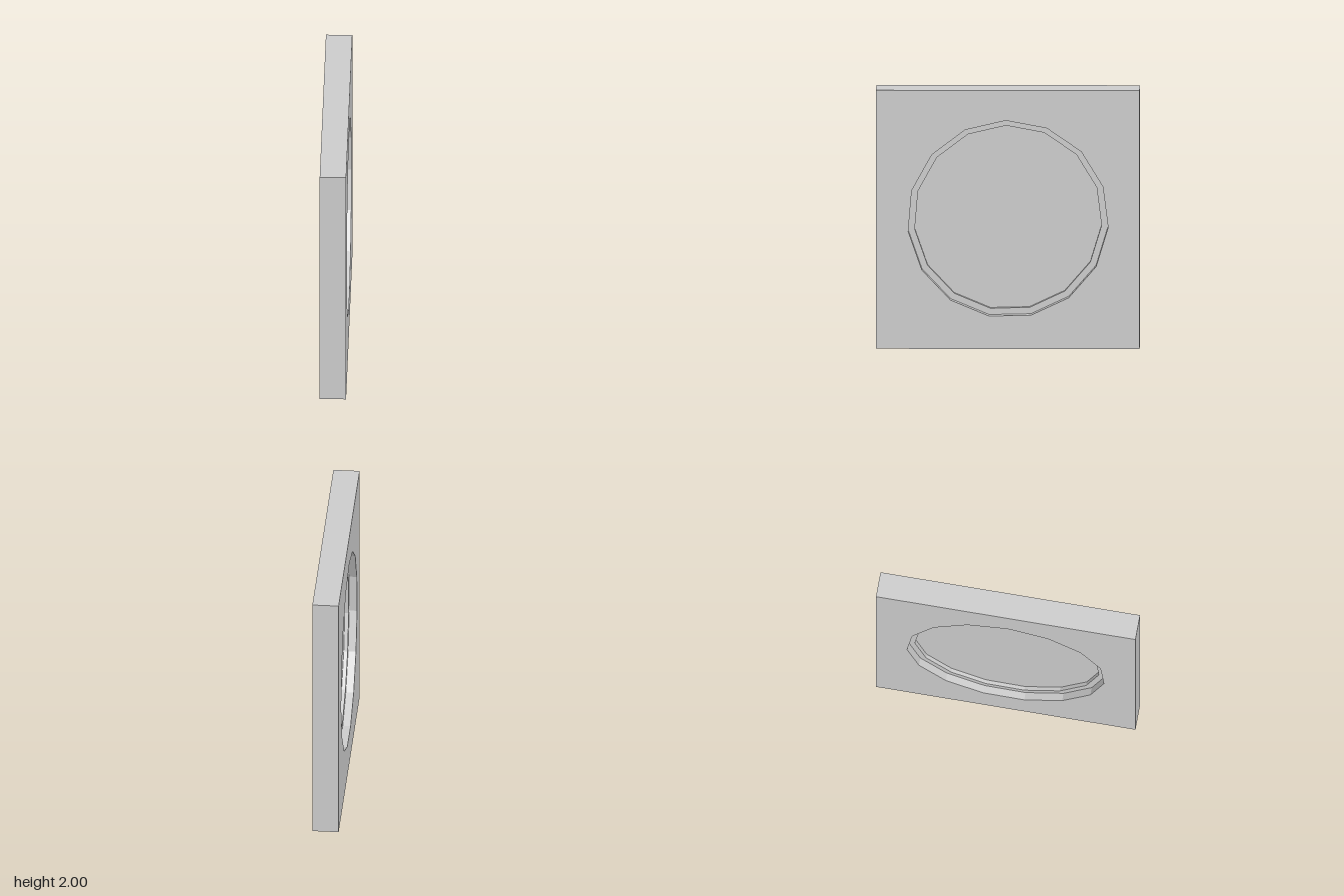
import * as THREE from 'three';

const CENTRE_Y = 1.003;
const SIDES = 15;
const TILT = THREE.MathUtils.degToRad(91.2); // direction of the topmost corner

// Corners of the 15-sided opening at a given radius
function ringPoints(radius) {
  return Array.from({ length: SIDES }, (_, i) => {
    const a = TILT + (i / SIDES) * Math.PI * 2;
    return new THREE.Vector2(Math.cos(a) * radius, CENTRE_Y + Math.sin(a) * radius);
  });
}

export function createModel() {
  const group = new THREE.Group();
  group.name = 'portholePanel';
  const material = new THREE.MeshStandardMaterial({ color: 0xcccccc, flatShading: true });

  // Extrude an outline, optionally with a hole, centred across the x axis
  function addLayer(name, outline, holeRadius, thickness) {
    const shape = new THREE.Shape(outline);
    if (holeRadius) shape.holes.push(new THREE.Path(ringPoints(holeRadius)));
    const geometry = new THREE.ExtrudeGeometry(shape, { depth: thickness, bevelEnabled: false });
    geometry.translate(0, 0, -thickness / 2).rotateY(Math.PI / 2);
    const mesh = new THREE.Mesh(geometry, material);
    mesh.name = name;
    group.add(mesh);
  }

  const square = [[-1, 0], [1, 0], [1, 2], [-1, 2]].map(([u, v]) => new THREE.Vector2(u, v));

  // Square wall panel, stepped rim recessed on both sides, thin pane in the middle
  addLayer('wallPanel', square, 0.763, 0.2);
  addLayer('windowRim', ringPoints(0.763), 0.713, 0.08);
  addLayer('windowPane', ringPoints(0.713), 0, 0.02);

  return group;
}
